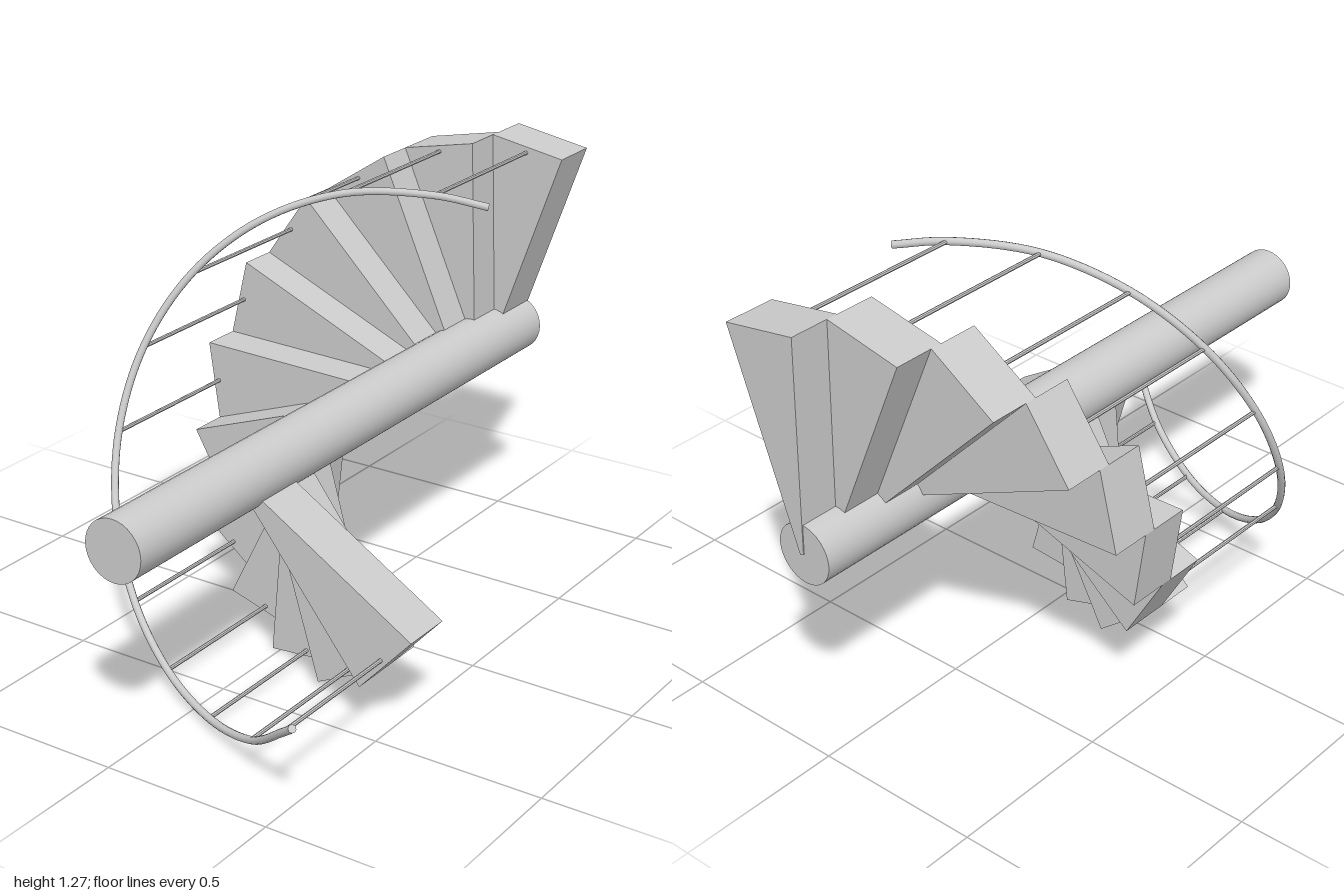
import * as THREE from 'three';
import { toCreasedNormals } from 'three/addons/utils/BufferGeometryUtils.js';

const STEPS = 12, SWEEP = THREE.MathUtils.degToRad(21.6), START = THREE.MathUtils.degToRad(69.5);
const STEP_R = 0.636, STEP_DEPTH = 0.155, RISE = 0.1195, RAIL_R = 0.607;

export function createModel() {
  const group = new THREE.Group();
  group.name = 'spiralStaircase';
  const material = new THREE.MeshStandardMaterial({ color: 0xcccccc });

  // The spiral lies on its side: its axis runs along z
  const spiral = new THREE.Group();
  spiral.name = 'spiral';
  spiral.position.set(0.043, 0.637, 0);
  group.add(spiral);

  const add = (name, geometry) => {
    const mesh = new THREE.Mesh(geometry, material);
    mesh.name = name;
    spiral.add(mesh);
    return mesh;
  };
  const rod = (name, radius, z0, z1, sides) => {
    const geometry = new THREE.CylinderGeometry(radius, radius, z1 - z0, sides);
    geometry.rotateX(Math.PI / 2).translate(0, 0, (z0 + z1) / 2);
    return add(name, toCreasedNormals(geometry, 0.9));
  };

  // Central column
  rod('column', 0.0885, -0.997, 1, 32);

  // Wedge tread shared by all steps
  const tread = new THREE.Shape();
  tread.moveTo(0, 0);
  tread.lineTo(0, -0.013);
  tread.lineTo(STEP_R, 0);
  tread.lineTo(STEP_R * Math.cos(SWEEP), STEP_R * Math.sin(SWEEP));
  tread.closePath();
  const treadGeometry = new THREE.ExtrudeGeometry(tread, { depth: STEP_DEPTH, bevelEnabled: false });

  // Handrail height along the axis for a given angle
  const railZ = (angle) => -0.395 + ((THREE.MathUtils.radToDeg(angle) - 67.2) / 256.6) * 1.34;
  const railPoint = (angle, r) =>
    new THREE.Vector3(r * Math.cos(angle), r * Math.sin(angle), railZ(angle));

  // Steps, each with a baluster at its outer middle
  const railPoints = [railPoint(THREE.MathUtils.degToRad(67.2), 0.618)];
  for (let i = 0; i < STEPS; i++) {
    const angle = START + i * SWEEP, mid = angle + SWEEP / 2;
    const z = -1 + i * RISE;
    const step = add('step' + (i + 1), treadGeometry);
    step.rotation.z = angle;
    step.position.z = z;

    const post = rod('baluster' + (i + 1), 0.006, z + STEP_DEPTH - 0.02, railZ(mid), 8);
    post.position.set(RAIL_R * Math.cos(mid), RAIL_R * Math.sin(mid), 0);
    railPoints.push(railPoint(mid, RAIL_R));
  }
  railPoints.push(railPoint(THREE.MathUtils.degToRad(323.8), 0.62));

  // Handrail with closed ends
  const railCurve = new THREE.CatmullRomCurve3(railPoints);
  add('handrail', new THREE.TubeGeometry(railCurve, 96, 0.011, 10));
  for (const t of [0, 1]) {
    const cap = add('handrailEnd', new THREE.CircleGeometry(0.011, 10));
    const outward = railCurve.getTangentAt(t).multiplyScalar(t ? 1 : -1);
    cap.position.copy(railCurve.getPointAt(t));
    cap.quaternion.setFromUnitVectors(new THREE.Vector3(0, 0, 1), outward);
  }
  return group;
}
